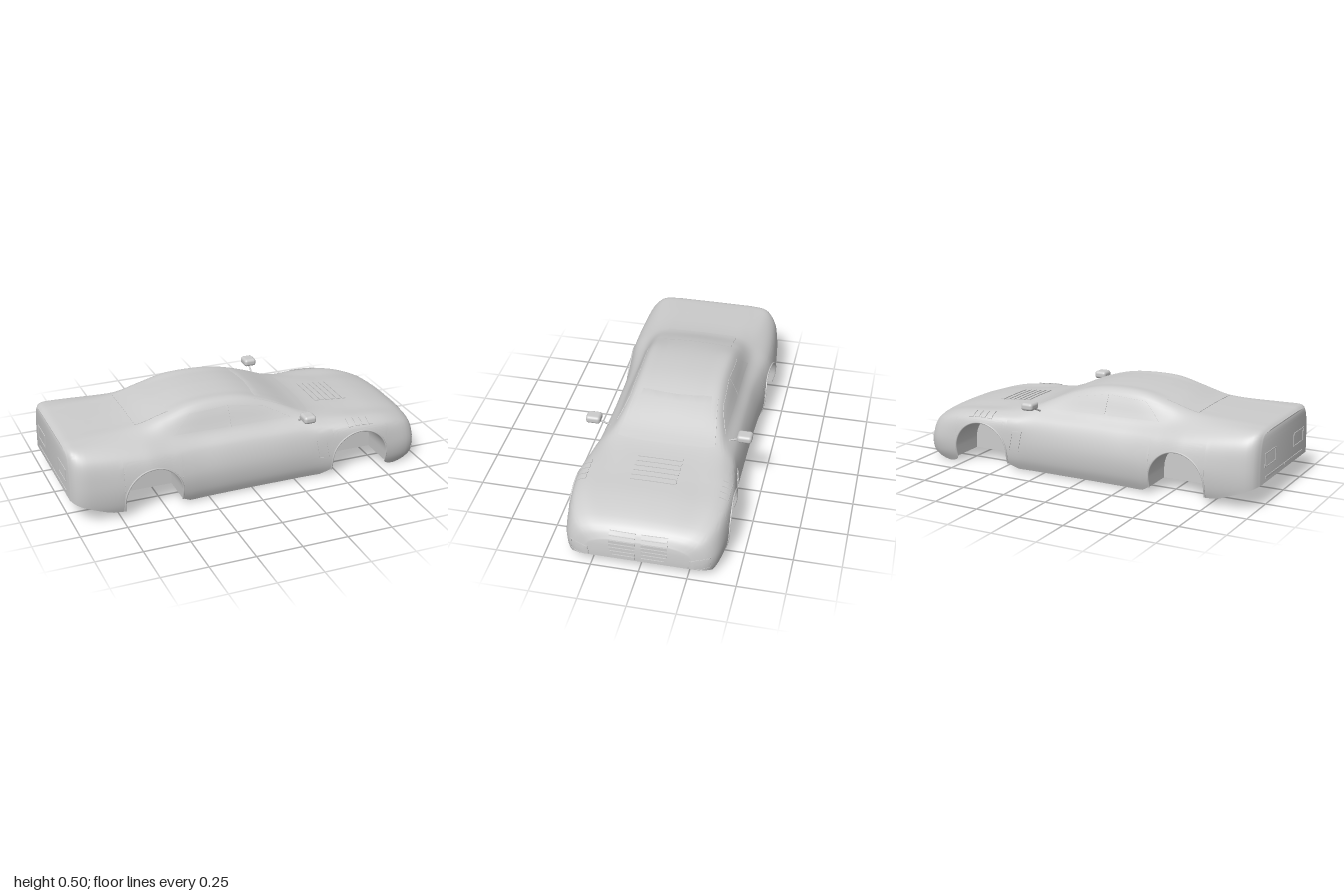
import * as THREE from 'three';
import { toCreasedNormals } from 'three/addons/utils/BufferGeometryUtils.js';
import { RoundedBoxGeometry } from 'three/addons/geometries/RoundedBoxGeometry.js';

const paint = new THREE.MeshStandardMaterial({ color: 0xcccccc, side: THREE.DoubleSide });
paint.name = 'silver paint';

// x, centre height, roof edge z/y, belt z/y, shoulder z/y, half width
const stations = [
  [-1, .385, .22, .383, .29, .37, .315, .33, .33],
  [-.98, .398, .24, .396, .315, .383, .35, .337, .37],
  [-.92, .403, .24, .4, .328, .383, .377, .332, .4],
  [-.6, .42, .23, .412, .315, .372, .39, .31, .424],
  [-.45, .465, .235, .445, .31, .358, .375, .295, .41],
  [-.3, .495, .23, .483, .305, .352, .36, .29, .396],
  [-.15, .503, .227, .489, .305, .35, .358, .288, .392],
  [0, .49, .228, .475, .305, .35, .358, .286, .39],
  [.15, .445, .24, .431, .305, .346, .36, .285, .39],
  [.32, .37, .27, .36, .312, .338, .365, .284, .391],
  [.42, .342, .26, .335, .33, .318, .38, .28, .397],
  [.6, .322, .24, .312, .345, .308, .4, .28, .424],
  [.78, .304, .24, .293, .338, .288, .393, .258, .416],
  [.92, .268, .21, .26, .3, .247, .355, .22, .39],
  [.975, .232, .18, .226, .26, .212, .31, .187, .346],
  [1, .19, .15, .186, .21, .173, .25, .152, .28],
];
const R = .16, ARCH_Y = .095, WELL_Y = .04, arches = [-.57, .615];
const sill = [[-1, .12], [-.98, .11], [-.8, .04], [-.72, .035], [-.41, .04], [-.36, .01], [.4, .01],
  [.455, .04], [.776, .03], [.8, .005], [.86, 0], [.9, .012], [.95, .04], [1, .07]];

// smooth interpolation of every station channel
function channels(x) {
  let i = 0;
  while (i < stations.length - 2 && x > stations[i + 1][0]) i++;
  const at = (k) => stations[Math.min(Math.max(k, 0), stations.length - 1)];
  const a = at(i), b = at(i + 1), h = b[0] - a[0], t = (x - a[0]) / h;
  const slope = (k, c) => (at(k + 1)[c] - at(k - 1)[c]) / (at(k + 1)[0] - at(k - 1)[0]);
  return a.map((_, c) => (2 * t ** 3 - 3 * t * t + 1) * a[c] + (t ** 3 - 2 * t * t + t) * h * slope(i, c)
    + (3 * t * t - 2 * t ** 3) * b[c] + (t ** 3 - t * t) * h * slope(i + 1, c));
}

function section(x) {
  const [, yc, zr, yr, zb, yb, zs, ys, w] = channels(x);
  const pts = [[0, yc], [zr * .6, yc - (yc - yr) * .3], [zr, yr], [zb, yb], [zs, ys],
    [w, ys * .62], [w - .006, ys * .25], [w - .035, -.006]];
  return new THREE.CatmullRomCurve3(pts.map(([z, y]) => new THREE.Vector3(x, y, z)));
}

// curve parameter where the flank reaches height y
function paramAt(curve, y) {
  let lo = 4 / 7, hi = 1;
  for (let k = 0; k < 24; k++) {
    const m = (lo + hi) / 2;
    if (curve.getPoint(m).y > y) lo = m; else hi = m;
  }
  return lo;
}
function flankZ(x, y) {
  const c = section(x);
  return c.getPoint(paramAt(c, y)).z;
}

function bottomY(x) {
  for (const cx of arches) {
    const d = Math.abs(x - cx);
    if (d <= R + 1e-6) return ARCH_Y + Math.sqrt(Math.max(0, R * R - d * d));
  }
  const i = Math.max(1, sill.findIndex((s) => s[0] >= x - 1e-9));
  const [a, b] = [sill[i - 1], sill[i]];
  return a[1] + (b[1] - a[1]) * (x - a[0]) / (b[0] - a[0]);
}

function geometryFrom(pos, idx) {
  const g = new THREE.BufferGeometry();
  g.setAttribute('position', new THREE.Float32BufferAttribute(pos, 3));
  g.setIndex(idx);
  g.computeVertexNormals();
  return g;
}

// hollow shell lofted along x, with arches cut in its lower edge
function bodyGeometry() {
  const xs = [1, .997, .992, .985, .975, .96, -1, -.997, -.992, -.986, -.975, -.96];
  for (let i = 1; i < 64; i++) xs.push(-.97 + i * 1.94 / 64);
  for (const cx of arches) {
    for (let k = 0; k <= 28; k++) xs.push(cx - R * Math.cos(Math.PI * k / 28));
    xs.push(cx - R - .001, cx + R + .001);
  }
  xs.sort((a, b) => a - b);
  const U = 26, L = 14, N = 2 * (U + L), pos = [], idx = [];
  for (const x of xs) {
    const c = section(x), end = paramAt(c, bottomY(x)), half = [];
    for (let j = 0; j < U; j++) half.push(c.getPoint(4 / 7 * j / U));
    for (let j = 0; j <= L; j++) half.push(c.getPoint(4 / 7 + (end - 4 / 7) * j / L));
    for (let j = N / 2; j >= 0; j--) pos.push(x, half[j].y, half[j].z);
    for (let j = 1; j <= N / 2; j++) pos.push(x, half[j].y, -half[j].z);
  }
  const id = (i, j) => i * (N + 1) + j, last = xs.length - 1;
  const quad = (a, b, c, d) => idx.push(a, b, c, a, c, d);
  for (let i = 0; i < last; i++) {
    for (let j = 0; j < N; j++) quad(id(i, j), id(i + 1, j), id(i + 1, j + 1), id(i, j + 1));
    // bumper undersides
    if (xs[i] > .945 || xs[i + 1] < -.92) quad(id(i, N), id(i + 1, N), id(i + 1, 0), id(i, 0));
  }
  // nose and tail faces
  for (let j = 0; j < N / 2; j++) {
    quad(id(last, N - j), id(last, N - j - 1), id(last, j + 1), id(last, j));
    quad(id(0, j), id(0, j + 1), id(0, N - j - 1), id(0, N - j));
  }
  return toCreasedNormals(geometryFrom(pos, idx), .8);
}

export function createModel() {
  const car = new THREE.Group();
  car.name = 'car body';
  const add = (name, geo) => {
    const m = new THREE.Mesh(geo, paint);
    m.name = name;
    car.add(m);
    return m;
  };
  const body = add('bodyShell', bodyGeometry());

  // thin raised plate draped on the shell; corners are 2D in the facing plane
  const facings = {
    front: [(u, v) => [2, v, u], [-1, 0, 0]], rear: [(u, v) => [-2, v, u], [1, 0, 0]],
    top: [(u, v) => [u, 2, v], [0, -1, 0]],
    left: [(u, v) => [u, v, 2], [0, 0, -1]], right: [(u, v) => [u, v, -2], [0, 0, 1]],
  };
  const ray = new THREE.Raycaster();
  function plate(name, facing, [a, b, c, d], lift = .004, nu = 6, nv = 2) {
    const [place, dirArr] = facings[facing], dir = new THREE.Vector3(...dirArr), pos = [], idx = [];
    const mix = (p, q, t) => p + (q - p) * t;
    for (let j = -1; j <= nv + 1; j++) for (let i = -1; i <= nu + 1; i++) {
      const s = Math.min(Math.max(i / nu, 0), 1), t = Math.min(Math.max(j / nv, 0), 1);
      const [u, v] = [0, 1].map((k) => mix(mix(a[k], b[k], s), mix(d[k], c[k], s), t));
      ray.set(new THREE.Vector3(...place(u, v)), dir);
      const hit = ray.intersectObject(body)[0];
      if (!hit) return;
      const rim = i < 0 || j < 0 || i > nu || j > nv;
      pos.push(...hit.point.addScaledVector(dir, rim ? .002 : -lift).toArray());
    }
    const w = nu + 3, flip = facing === 'rear' || facing === 'left' ? 1 : -1;
    for (let j = 0; j < nv + 2; j++) for (let i = 0; i < nu + 2; i++) {
      const p = j * w + i;
      if (flip > 0) idx.push(p, p + 1, p + w + 1, p, p + w + 1, p + w);
      else idx.push(p, p + w + 1, p + 1, p, p + w, p + w + 1);
    }
    add(name, toCreasedNormals(geometryFrom(pos, idx), .6));
  }
  const rect = (u0, v0, u1, v1) => [[u0, v0], [u1, v0], [u1, v1], [u0, v1]];
  function frame(name, facing, c, t = .14) {
    const mid = [0, 1].map((k) => (c[0][k] + c[1][k] + c[2][k] + c[3][k]) / 4);
    const inner = c.map((p) => p.map((v, k) => v + (mid[k] - v) * t));
    for (let k = 0; k < 4; k++) {
      const n = (k + 1) % 4;
      plate(name, facing, [c[k], c[n], inner[n], inner[k]], .003, 4, 1);
    }
  }

  // glass
  plate('windshield', 'front', [[-.262, .35], [.262, .35], [.222, .465], [-.222, .465]], .003, 12, 8);
  plate('rearWindow', 'top', [[-.6, -.2], [-.42, -.2], [-.42, .2], [-.6, .2]], .002, 6, 10);
  // bonnet vent
  for (let i = 0; i < 6; i++) plate('bonnetVentSlat', 'top', rect(.472 + i * .034, -.12, .495 + i * .034, .12), .004, 2, 8);

  for (const s of [1, -1]) {
    const side = s > 0 ? 'left' : 'right';
    plate('frontSideWindow', side, [[-.1, .362], [.24, .357], [.1, .43], [-.1, .465]], .002, 8, 5);
    plate('rearSideWindow', side, [[-.42, .368], [-.115, .362], [-.115, .465], [-.32, .455]], .002, 8, 5);

    // grille halves with tapered lower corner
    for (let i = 0; i < 7; i++) {
      const y = .08 + i * .0225, outer = (v) => Math.min(.15, .125 + (v - .08) * .5);
      plate('grilleSlat', 'front', [[s * .016, y], [s * outer(y), y], [s * outer(y + .016), y + .016], [s * .016, y + .016]], .005, 4, 1);
    }
    frame('fogLampSurround', 'front', [[.25, .06], [.365, .068], [.36, .132], [.262, .124]].map(([z, y]) => [s * z, y]));
    frame('tailLampSurround', 'rear', rect(s * .13, .2, s * .28, .275));
    plate('tailSlot', 'rear', rect(s * .005, .14, s * .27, .152), .003, 4, 1);
    for (let i = 0; i < 4; i++) plate('wingVent', 'top', rect(.547 + i * .04, s * .348, .574 + i * .04, s * .398), .004, 2, 4);
    frame('sideVent', side, [[.38, .12], [.44, .112], [.42, .225], [.362, .232]]);

    // door mirrors
    const mirror = add('doorMirror', new RoundedBoxGeometry(.07, .042, .08, 4, .016));
    mirror.position.set(.293, .39, s * .409);
    add('mirrorStalk', new THREE.TubeGeometry(new THREE.LineCurve3(
      new THREE.Vector3(.28, .345, s * .325), new THREE.Vector3(.29, .378, s * .395)), 1, .005, 8));

    // wheel wells and arch lips
    for (const cx of arches) {
      const edge = [[cx + R, WELL_Y]];
      for (let k = 0; k <= 28; k++) edge.push([cx + R * Math.cos(Math.PI * k / 28), ARCH_Y + R * Math.sin(Math.PI * k / 28)]);
      edge.push([cx - R, WELL_Y]);
      const pos = [], idx = [], inner = .21;
      edge.forEach(([x, y], i) => {
        pos.push(x, y, s * flankZ(x, y), x, y, s * inner);
        const p = 2 * i;
        if (i) idx.push(...(s > 0 ? [p - 2, p - 1, p, p - 1, p + 1, p] : [p - 2, p, p - 1, p - 1, p, p + 1]));
      });
      add('wheelWell', toCreasedNormals(geometryFrom(pos, idx), .6));
      const wall = add('wheelWellWall', new THREE.ShapeGeometry(new THREE.Shape(edge.map((p) => new THREE.Vector2(...p)))));
      wall.position.z = s * inner;
      const lip = edge.map(([x, y]) => new THREE.Vector3(x, y, s * (flankZ(x, y) + .001)));
      add('archLip', new THREE.TubeGeometry(new THREE.CatmullRomCurve3(lip), 48, .005, 6));
    }
  }
  return car;
}
